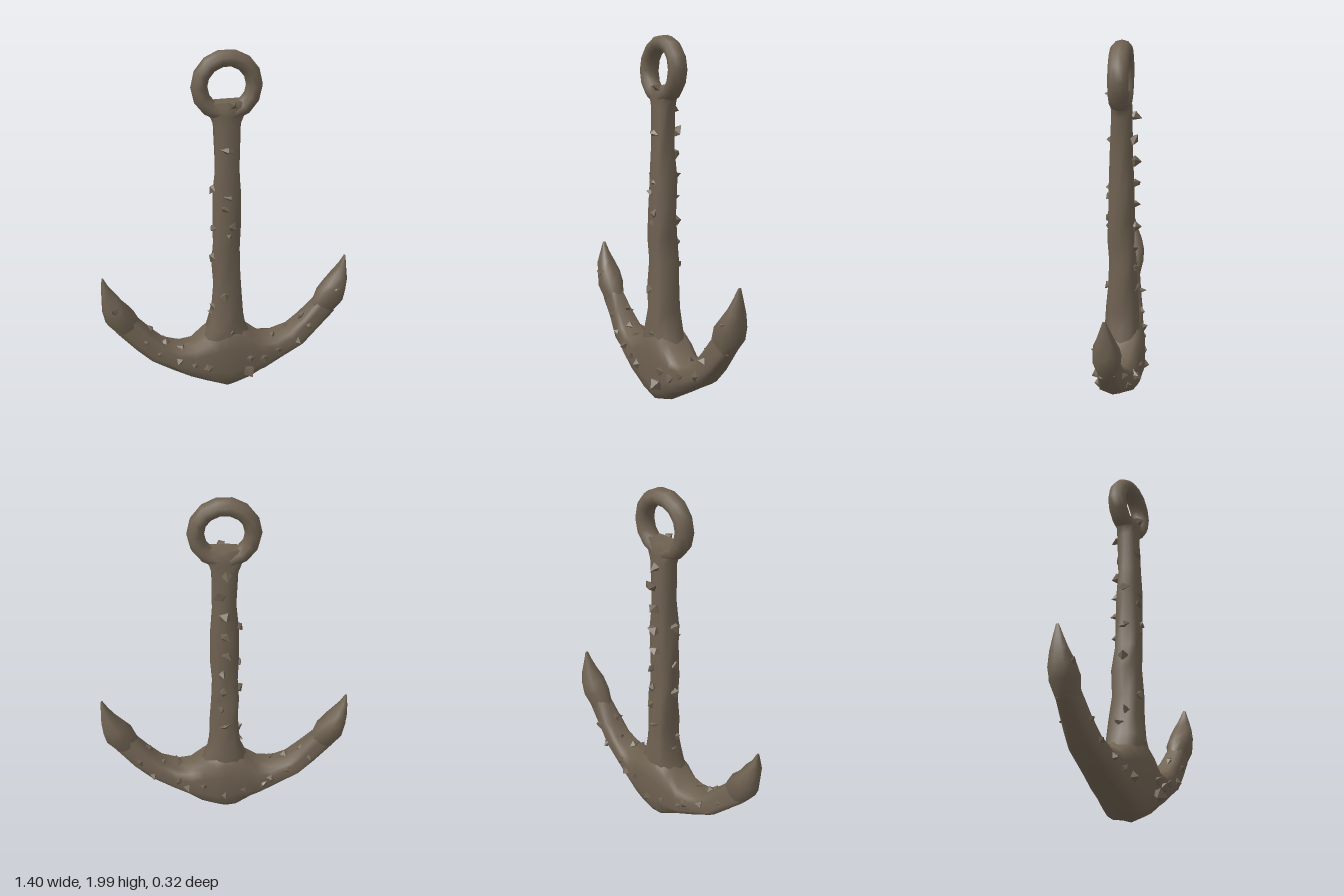
import * as THREE from 'three';

// Small seeded generator for the corroded surface
let seed = 7;
const rand = () => {
  seed = (seed * 16807) % 2147483647;
  return seed / 2147483647;
};
const jitter = (a) => (rand() * 2 - 1) * a;

// Lofts rounded-box sections. Station: [outerX, outerY, innerX, innerY, halfDepth, zOffset]
function loft(stations, sides, power, rough) {
  const pos = [], idx = [];
  const bend = (v) => Math.sign(v) * Math.pow(Math.abs(v), power);
  stations.forEach(([ox, oy, ix, iy, d, z0]) => {
    for (let j = 0; j < sides; j++) {
      const a = (j / sides) * Math.PI * 2, c = bend(Math.cos(a)), s = bend(Math.sin(a));
      const r = Math.min(rough, d * 0.1);
      pos.push((ox + ix) / 2 + (c * (ix - ox)) / 2 + jitter(r),
        (oy + iy) / 2 + (c * (iy - oy)) / 2 + jitter(r), z0 + s * d + jitter(r));
    }
  });
  const n = stations.length;
  for (let i = 0; i < n - 1; i++) for (let j = 0; j < sides; j++) {
    const a = i * sides + j, b = i * sides + (j + 1) % sides;
    idx.push(a, b, b + sides, a, b + sides, a + sides);
  }
  // End caps with their own corners, so the rim stays sharp
  for (const end of [0, n - 1]) {
    const base = pos.length / 3;
    for (let j = 0; j < sides * 3; j++) pos.push(pos[end * sides * 3 + j]);
    for (let j = 1; j < sides - 1; j++) {
      if (end) idx.push(base, base + j, base + j + 1);
      else idx.push(base, base + j + 1, base + j);
    }
  }
  const g = new THREE.BufferGeometry();
  g.setAttribute('position', new THREE.Float32BufferAttribute(pos, 3));
  g.setIndex(idx);
  g.computeVertexNormals();
  return g;
}

const mirror = (list) => list.map(([ox, oy, ix, iy, d, z]) => [-ox, oy, -ix, iy, d, z]).reverse();

// Jagged lump of encrustation
function lump(size) {
  const g = new THREE.OctahedronGeometry(size, 0).toNonIndexed();
  g.scale(1 + jitter(0.4), 1 + jitter(0.4), 1 + jitter(0.4));
  g.rotateX(rand() * 3);
  g.rotateZ(rand() * 3);
  g.computeVertexNormals();
  return g;
}

export function createModel() {
  seed = 7;
  const group = new THREE.Group();
  const iron = new THREE.MeshStandardMaterial({ color: 0x6e6151 });
  iron.name = 'rusted iron';
  const add = (name, geometry, parent = group) => {
    const m = new THREE.Mesh(geometry, iron);
    m.name = name;
    parent.add(m);
    return m;
  };

  // Shank: [y, half width, half depth]
  const shank = [
    [0.2, 0.17, 0.105], [0.34, 0.14, 0.1], [0.42, 0.105, 0.095], [0.52, 0.088, 0.088],
    [0.65, 0.082, 0.082], [0.8, 0.08, 0.075], [0.92, 0.074, 0.073], [1.05, 0.076, 0.07],
    [1.25, 0.074, 0.066], [1.4, 0.064, 0.06], [1.62, 0.07, 0.055],
    [1.67, 0.092, 0.054], [1.71, 0.12, 0.05], [1.74, 0.125, 0.038],
  ];
  add('shank', loft(shank.map(([y, w, d]) => [w, y, -w, y, d, y < 0.9 ? -0.007 : 0]), 12, 0.8, 0.007));

  // Ring at the head
  const ring = new THREE.TorusGeometry(0.141, 0.043, 10, 14);
  ring.scale(1, 1, 1.25);
  add('ring', ring).position.set(0, 1.818, 0);

  // Crown and both curved arms in one sweep
  const arm = [
    [0.06, 0.012, 0.05, 0.42, 0.12, -0.015], [0.13, 0.05, 0.115, 0.375, 0.112, -0.013],
    [0.22, 0.1, 0.19, 0.312, 0.1, -0.01], [0.32, 0.155, 0.27, 0.3, 0.09, -0.008],
    [0.45, 0.235, 0.36, 0.335, 0.077, -0.005], [0.53, 0.315, 0.44, 0.415, 0.065, -0.003],
    [0.635, 0.44, 0.53, 0.525, 0.048, 0],
  ];
  add('crownAndArms', loft([...mirror(arm), [0, 0, 0, 0.43, 0.122, -0.015], ...arm], 14, 0.65, 0.006));

  // Pointed flukes
  const fluke = [
    [0.63, 0.425, 0.5, 0.49, 0.052, 0], [0.685, 0.51, 0.53, 0.565, 0.073, 0],
    [0.697, 0.58, 0.575, 0.62, 0.068, 0], [0.702, 0.65, 0.62, 0.675, 0.05, 0],
    [0.698, 0.72, 0.655, 0.73, 0.028, 0], [0.691, 0.785, 0.682, 0.785, 0.008, 0],
  ];
  add('leftFluke', loft(fluke, 10, 0.85, 0.005));
  add('rightFluke', loft(mirror(fluke), 10, 0.85, 0.005));

  // Encrustation half sunk into the iron
  const crust = new THREE.Group();
  crust.name = 'encrustation';
  group.add(crust);
  const stick = (x, y, z, size) => add('lump', lump(size), crust).position.set(x, y, z);

  // Row up the back of the shank, clump on its front, row on its right side
  for (let i = 0; i < 9; i++) {
    const y = 0.65 + i * 0.121;
    stick(jitter(0.025), y, -0.092 + y * 0.015, 0.031);
  }
  for (const y of [0.4, 0.64, 1.01, 1.06, 1.17, 1.23, 1.49, 1.73]) {
    stick(jitter(0.025), y, 0.086 - y * 0.023, 0.03);
  }
  for (const y of [0.48, 0.55, 0.86, 1.04, 1.27]) stick(-0.074, y, jitter(0.03), 0.03);

  // Front, back and upper edge of each arm
  for (const side of [-1, 1]) {
    for (const [ox, oy, ix, iy, d, z] of arm.slice(1, 6)) {
      const t = 0.35 + rand() * 0.3;
      const x = side * (ox + (ix - ox) * t), y = oy + (iy - oy) * t;
      stick(x, y, z + d * 0.97, 0.024);
      stick(x + jitter(0.03), y, z - d * 0.98, 0.027);
      if (ix > 0.25) stick(side * ix, iy, jitter(0.03), 0.025);
    }
    stick(side * 0.63, 0.6, 0.055, 0.025);
  }
  stick(0.11, 0.14, 0.115, 0.034);
  stick(0, 0.15, -0.125, 0.03);
  return group;
}
